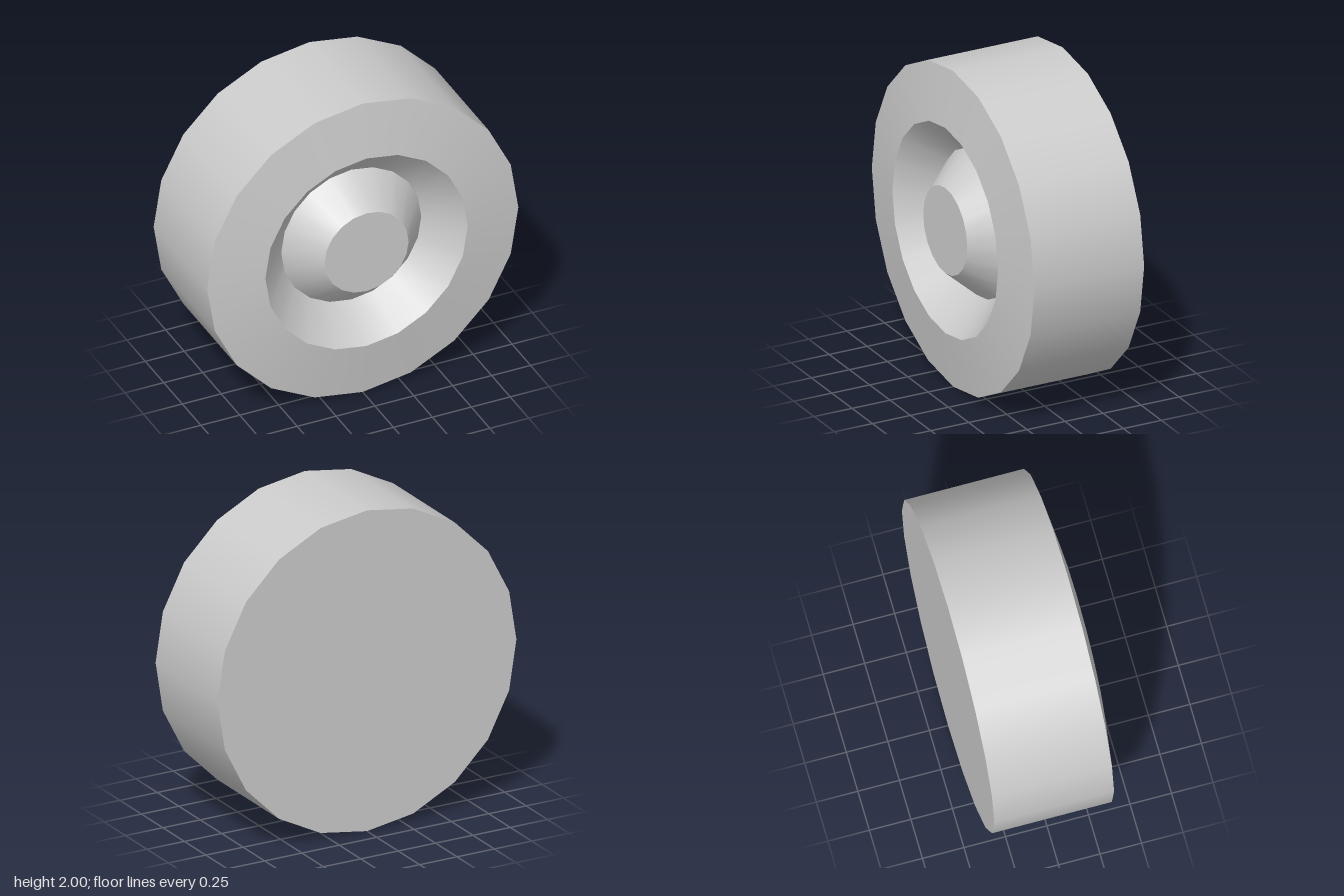
import * as THREE from 'three';

const SIDES = 20;
const material = new THREE.MeshStandardMaterial({ color: 0xcccccc });

// One smooth ring of the wheel between two [radius, z] points; separate rings keep the edges sharp
function band(name, from, to) {
  const points = [from, to].map(([r, z]) => new THREE.Vector2(r, z));
  const geometry = new THREE.LatheGeometry(points, SIDES);
  geometry.rotateX(Math.PI / 2);
  const mesh = new THREE.Mesh(geometry, material);
  mesh.name = name;
  return mesh;
}

// Flat disc facing forward or, when turned, backward
function disc(name, radius, z, turned) {
  const mesh = new THREE.Mesh(new THREE.CircleGeometry(radius, SIDES), material);
  mesh.position.z = z;
  if (turned) mesh.rotation.y = Math.PI;
  mesh.name = name;
  return mesh;
}

export function createModel() {
  const wheel = new THREE.Group();
  wheel.name = 'wheel';

  // Profile corners: [radius, z]
  const back = [1, -0.387];
  const shoulder = [1, 0.335];
  const rim = [0.65, 0.387];
  const groove = [0.45, 0.18];
  const hub = [0.27, 0.387];

  wheel.add(
    disc('backFace', back[0], back[1], true),
    band('tread', back, shoulder),
    band('sidewall', shoulder, rim),
    band('rimSlope', rim, groove),
    band('hubCone', groove, hub),
    disc('hubCap', hub[0], hub[1], false)
  );
  wheel.position.y = 1;

  const model = new THREE.Group();
  model.add(wheel);
  return model;
}
